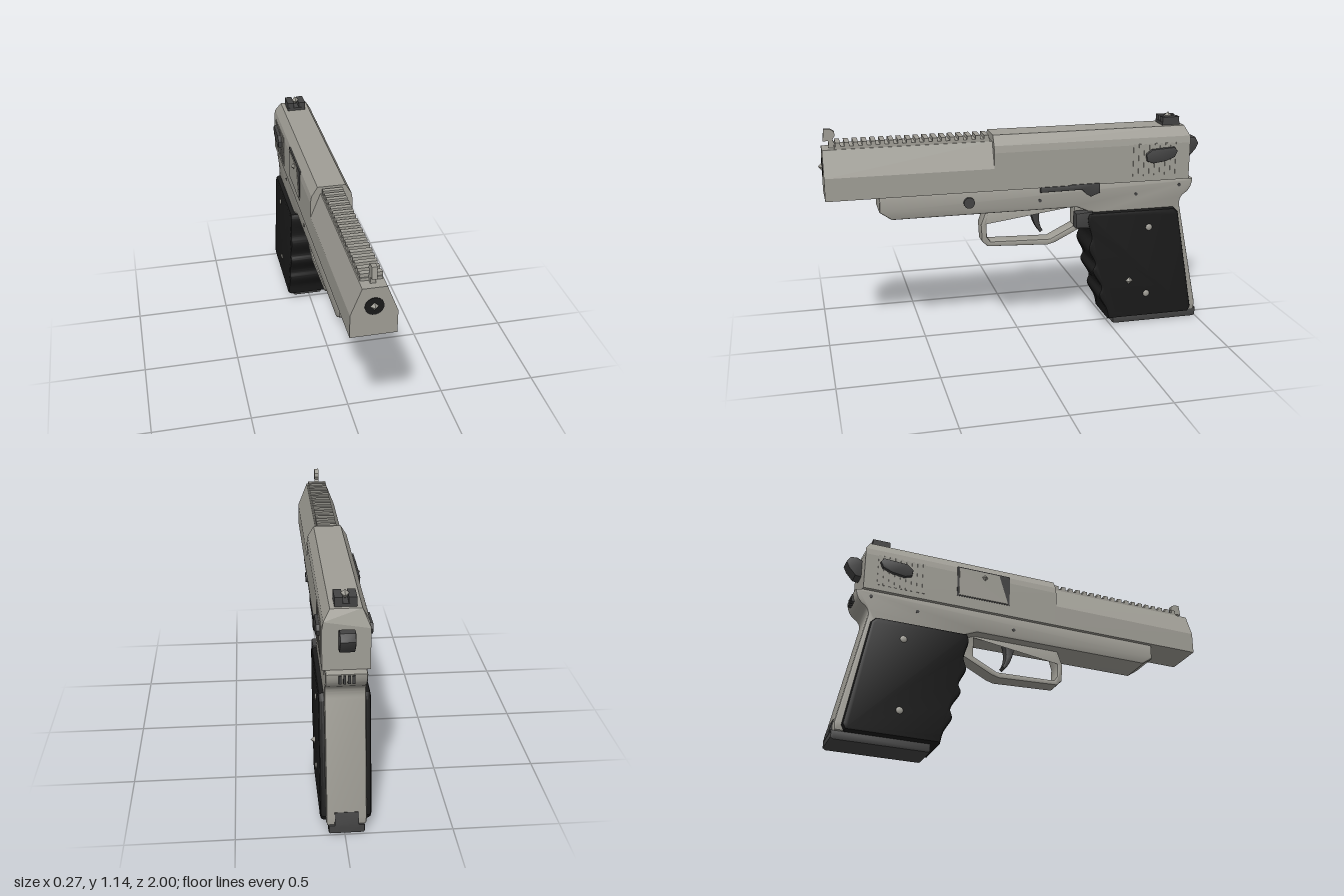
import * as THREE from 'three';
import { toCreasedNormals } from 'three/addons/utils/BufferGeometryUtils.js';

const CX = -0.009; // mid-plane of the body
const mat = (name, color) => {
  const m = new THREE.MeshStandardMaterial({ color });
  m.name = name;
  return m;
};

export function createModel() {
  const root = new THREE.Group();
  root.name = 'pistol';
  const steel = mat('grey steel', 0xa09e96);
  const dark = mat('dark metal', 0x434343);
  const black = mat('black grip', 0x1a1a1a);

  const add = (name, geo, material, x = 0, y = 0, z = 0) => {
    const m = new THREE.Mesh(geo, material);
    m.name = name;
    m.position.set(x, y, z);
    root.add(m);
    return m;
  };
  const shapeOf = (pts) => new THREE.Shape(pts.map(([a, b]) => new THREE.Vector2(a, b)));

  // Side outline given as [z, y], extruded across x, with optional bevelled edges
  const side = (shape, width, bevel = 0) => {
    const g = new THREE.ExtrudeGeometry(Array.isArray(shape) ? shapeOf(shape) : shape, {
      depth: width - 2 * bevel, bevelEnabled: bevel > 0, bevelThickness: bevel,
      bevelSize: bevel, bevelOffset: -bevel, bevelSegments: 2, curveSegments: 12,
    });
    g.rotateY(-Math.PI / 2);
    g.translate(width / 2 - bevel, 0, 0);
    return toCreasedNormals(g, 0.6);
  };
  // Half section given as [x, y], mirrored and extruded along z
  const along = (half, z0, z1) => {
    const pts = [...half, ...half.map(([x, y]) => [-x, y]).reverse()];
    const g = new THREE.ExtrudeGeometry(shapeOf(pts), { depth: z1 - z0, bevelEnabled: false });
    g.translate(0, 0, z0);
    return g;
  };
  const box = (name, w, h, d, m, x, y, z) => add(name, new THREE.BoxGeometry(w, h, d), m, x, y, z);
  const disc = (name, r, len, m, x, y, z, seg = 20) =>
    add(name, new THREE.CylinderGeometry(r, r, len, seg).rotateZ(Math.PI / 2), m, x, y, z);
  const stud = (name, x, y, z) => add(name, new THREE.OctahedronGeometry(0.022), steel, x, y, z);

  // Barrel shroud with sloping flanks
  add('barrelShroud', along([[0.106, 0.805], [0.106, 0.92], [0.055, 1.05]], 0.13, 0.98), steel, CX);
  add('muzzleBore', new THREE.CylinderGeometry(0.043, 0.043, 0.008, 28).rotateX(Math.PI / 2), black, CX, 0.957, 0.979);

  // Slide: rear top edge leans forward
  const slide = along([[0.106, 0.805], [0.106, 1.0], [0.1, 1.035], [0.07, 1.085]], -0.905, 0.14);
  const p = slide.attributes.position;
  for (let i = 0; i < p.count; i++) {
    if (p.getZ(i) < -0.5 && p.getY(i) > 1.05) p.setZ(i, -0.88);
  }
  slide.computeVertexNormals();
  add('slide', slide, steel, CX);

  // Top rail
  box('railBase', 0.1, 0.02, 0.77, steel, CX, 1.054, 0.535);
  for (let i = 0; i < 18; i++) {
    box('railRib', 0.1, 0.036, 0.024, steel, CX, 1.064, 0.168 + i * 0.0432);
  }

  // Sights
  add('frontSight', side([[0.905, 1.05], [0.925, 1.09], [0.913, 1.11], [0.915, 1.13], [0.935, 1.143],
    [0.965, 1.143], [0.972, 1.085], [0.945, 1.085], [0.945, 1.05]], 0.024), steel, CX);
  box('rearSightBase', 0.098, 0.02, 0.095, dark, CX, 1.09, -0.815);
  for (const s of [-1, 1]) {
    box('rearSightPost', 0.036, 0.038, 0.09, dark, CX + s * 0.031, 1.108, -0.815);
  }

  // Slide details on both sides
  const lever = [[-0.665, 0.915], [-0.66, 0.95], [-0.69, 0.975], [-0.815, 0.983], [-0.83, 0.96],
    [-0.815, 0.93], [-0.77, 0.912], [-0.7, 0.902]];
  for (const s of [-1, 1]) {
    add('safetyLever', side(lever, 0.024, 0.004), dark, CX + s * 0.113);
    for (let i = 0; i < 9; i++) {
      box('gripSerration', 0.008, 0.17, 0.013, steel, CX + s * 0.105, 0.92, -0.6 - i * 0.029);
    }
  }

  // Ejection port on the right side
  box('ejectionPort', 0.03, 0.17, 0.29, dark, CX - 0.093, 0.95, -0.275);
  add('ejectionCover', side([[-0.41, 0.87], [-0.41, 1.028], [-0.19, 1.028], [-0.14, 0.87]], 0.009), steel, CX - 0.107);

  // Frame, grip core and beavertail
  const frame = new THREE.Shape();
  frame.moveTo(0.72, 0.807);
  frame.lineTo(0.72, 0.725);
  frame.lineTo(0.66, 0.683);
  frame.lineTo(-0.3, 0.683);
  frame.lineTo(-0.4, 0.64);
  frame.lineTo(-0.54, 0.048);
  frame.lineTo(-0.985, 0.048);
  frame.lineTo(-0.988, 0.09);
  frame.lineTo(-0.874, 0.64);
  frame.quadraticCurveTo(-0.86, 0.69, -0.89, 0.715);
  frame.quadraticCurveTo(-0.935, 0.74, -0.938, 0.8);
  frame.lineTo(-0.9, 0.807);
  add('frame', side(frame, 0.186, 0.012), steel, CX);

  // Trigger guard and trigger
  const guard = shapeOf([[0.17, 0.69], [0.2, 0.61], [0.195, 0.52], [0.165, 0.49], [-0.16, 0.474],
    [-0.2, 0.485], [-0.37, 0.57], [-0.37, 0.69]]);
  guard.holes.push(new THREE.Path([[0.15, 0.682], [-0.3, 0.682], [-0.3, 0.57], [-0.17, 0.505],
    [0.15, 0.515], [0.168, 0.54], [0.17, 0.61]].map(([a, b]) => new THREE.Vector2(a, b))));
  add('triggerGuard', side(guard, 0.084, 0.006), steel, CX);
  const trigger = new THREE.Shape();
  trigger.moveTo(-0.065, 0.69);
  trigger.quadraticCurveTo(-0.075, 0.59, -0.12, 0.54);
  trigger.lineTo(-0.135, 0.55);
  trigger.quadraticCurveTo(-0.1, 0.6, -0.125, 0.69);
  add('trigger', side(trigger, 0.05, 0.005), dark, CX);

  // Black grip with finger waves
  const grip = shapeOf([[-0.36, 0.652], [-0.83, 0.652], [-0.855, 0.625], [-0.955, 0.075], [-0.94, 0.048], [-0.48, 0.048]]);
  grip.splineThru([[-0.465, 0.11], [-0.425, 0.185], [-0.433, 0.24], [-0.385, 0.325], [-0.395, 0.375],
    [-0.36, 0.455], [-0.373, 0.52], [-0.35, 0.61], [-0.36, 0.652]].map(([a, b]) => new THREE.Vector2(a, b)));
  add('grip', side(grip, 0.237, 0.016), black, CX);
  for (const s of [-1, 1]) {
    for (const y of [0.555, 0.18]) {
      const screw = add('gripScrew', new THREE.SphereGeometry(0.018, 14, 10), steel, CX + s * 0.117, y, -0.69);
      screw.scale.x = 0.4;
    }
    for (const [y, z] of [[0.735, -0.1], [0.735, -0.62], [0.77, -0.86]]) {
      disc('framePin', 0.009, 0.006, dark, CX + s * 0.092, y, z, 12);
    }
  }

  // Controls on the left side
  add('slideStop', side([[-0.1, 0.78], [-0.1, 0.808], [-0.25, 0.808], [-0.265, 0.812], [-0.415, 0.812], [-0.418, 0.76],
    [-0.37, 0.742], [-0.345, 0.755], [-0.32, 0.782]], 0.025, 0.003), dark, CX + 0.097);
  disc('takedownPin', 0.028, 0.02, dark, CX + 0.097, 0.75, 0.27);
  add('magazineRelease', side([[-0.29, 0.575], [-0.29, 0.655], [-0.38, 0.66], [-0.38, 0.57]], 0.06, 0.006), dark, CX + 0.082);

  // Hammer and rear catch
  add('hammer', side([[-0.89, 0.99], [-0.93, 1.01], [-0.965, 1.008], [-0.984, 0.975], [-0.97, 0.945],
    [-0.935, 0.905], [-0.89, 0.9]], 0.07, 0.006), dark, CX);
  for (let i = 0; i < 4; i++) {
    box('rearCatchRib', 0.012, 0.04, 0.03, dark, CX - 0.03 + i * 0.02, 0.775, -0.928);
  }

  // Magazine base and heel
  add('magazineBase', side([[-0.518, 0.01], [-0.518, 0.052], [-0.998, 0.052], [-0.998, 0.012], [-0.985, 0.004],
    [-0.53, 0.004]], 0.166, 0.008), dark, CX);
  add('magazineHeel', side([[-0.9, 0.04], [-0.93, 0.1], [-0.985, 0.115], [-0.999, 0.06], [-0.999, 0.04]], 0.11), dark, CX);

  // Small pointed studs
  stud('muzzleStud', CX, 0.957, 0.98);
  stud('gripStud', CX + 0.117, 0.262, -0.59);
  stud('slideStud', CX - 0.106, 0.997, -0.27);
  stud('rearSightStud', CX, 1.125, -0.815);

  return root;
}
